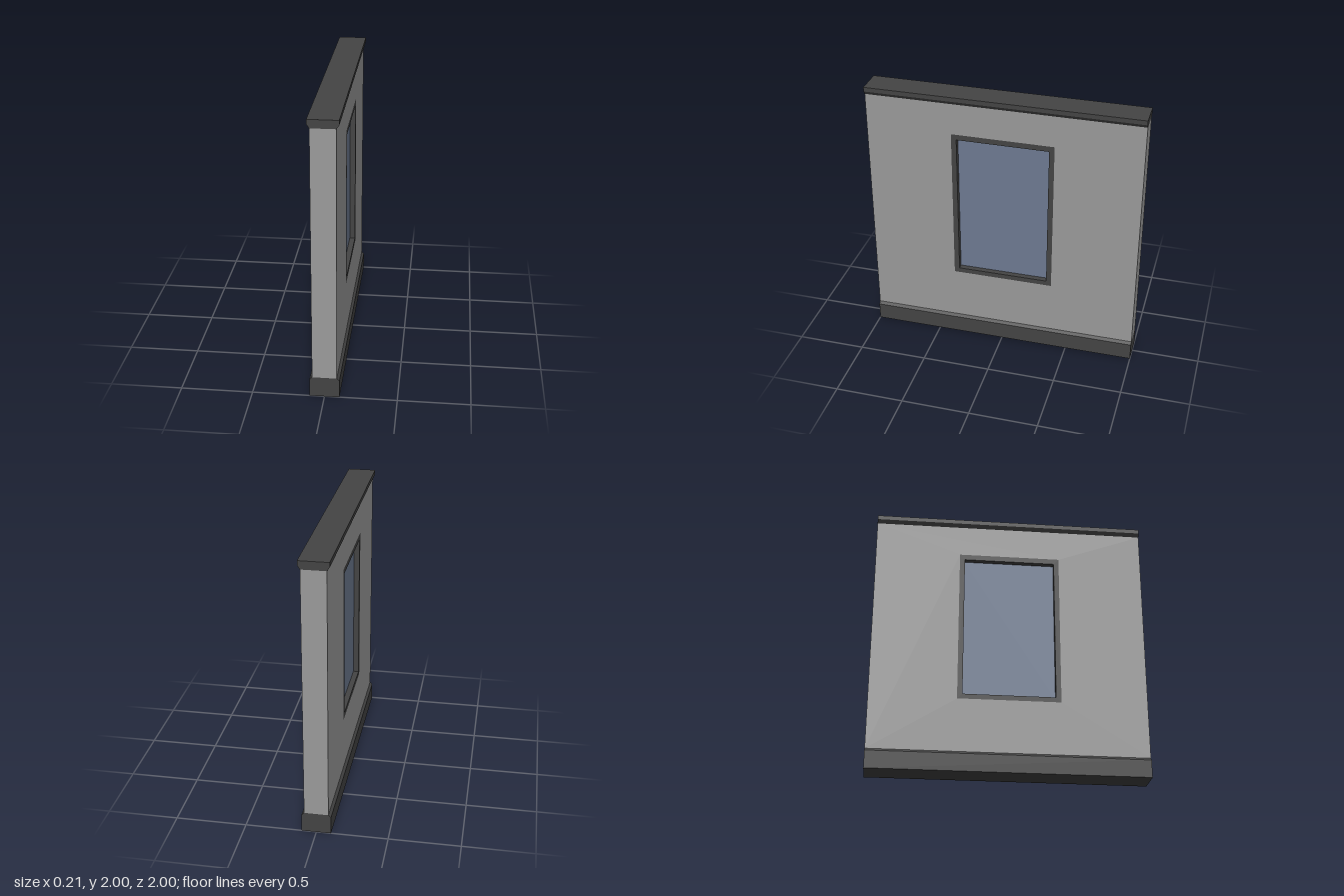
import * as THREE from 'three';

const WALL = 0.085; // half thickness of the wall
const TRIM = 0.103; // half thickness of skirting and cornice
const SKIRTING_TOP = 0.147;
const CORNICE_BOTTOM = 1.942;

const mat = (color) => new THREE.MeshStandardMaterial({ color, flatShading: true });

// Closed shape from corner points
const shapeOf = (pts) => new THREE.Shape(pts.map(([x, y]) => new THREE.Vector2(x, y)));

// Rectangle running counter-clockwise, given half width, bottom and top
const rect = (w, y0, y1) => [[-w, y0], [w, y0], [w, y1], [-w, y1]];

// Extrude an outline to a depth, centred on its own axis
function extrude(shape, depth) {
  const geo = new THREE.ExtrudeGeometry(shape, { depth, bevelEnabled: false });
  geo.translate(0, 0, -depth / 2);
  return geo;
}

// Panel in the plane of the wall with a rectangular opening
function panel(outer, hole, depth) {
  const shape = shapeOf(outer);
  shape.holes.push(shapeOf([...hole].reverse()));
  return extrude(shape, depth).rotateY(Math.PI / 2);
}

export function createModel() {
  const group = new THREE.Group();
  const add = (name, geo, material) => {
    const mesh = new THREE.Mesh(geo, material);
    mesh.name = name;
    group.add(mesh);
  };
  const wallMat = mat(0x9b9b9b);
  const trimMat = mat(0x444444);
  const glassMat = mat(0x6e7b92);

  const opening = rect(0.373, 0.543, 1.708);
  const inner = rect(0.335, 0.58, 1.667);

  // Wall with the window opening, fitted between skirting and cornice
  add('wall', panel(rect(1, SKIRTING_TOP, CORNICE_BOTTOM), opening, WALL * 2), wallMat);

  // Window frame, flush with both wall faces
  add('windowFrame', panel(opening, inner, WALL * 2), trimMat);

  // Pane recessed equally from both faces
  add('windowPane', extrude(shapeOf(inner), 0.09).rotateY(Math.PI / 2), glassMat);

  // Skirting with chamfered upper edges
  add('skirting', extrude(shapeOf([
    [-TRIM, 0], [TRIM, 0], [TRIM, 0.128],
    [WALL, SKIRTING_TOP], [-WALL, SKIRTING_TOP], [-TRIM, 0.128],
  ]), 2), trimMat);

  // Cornice with chamfered lower edges
  add('cornice', extrude(shapeOf([
    [-WALL, CORNICE_BOTTOM], [WALL, CORNICE_BOTTOM], [TRIM, 1.968],
    [TRIM, 2], [-TRIM, 2], [-TRIM, 1.968],
  ]), 2), trimMat);

  return group;
}
